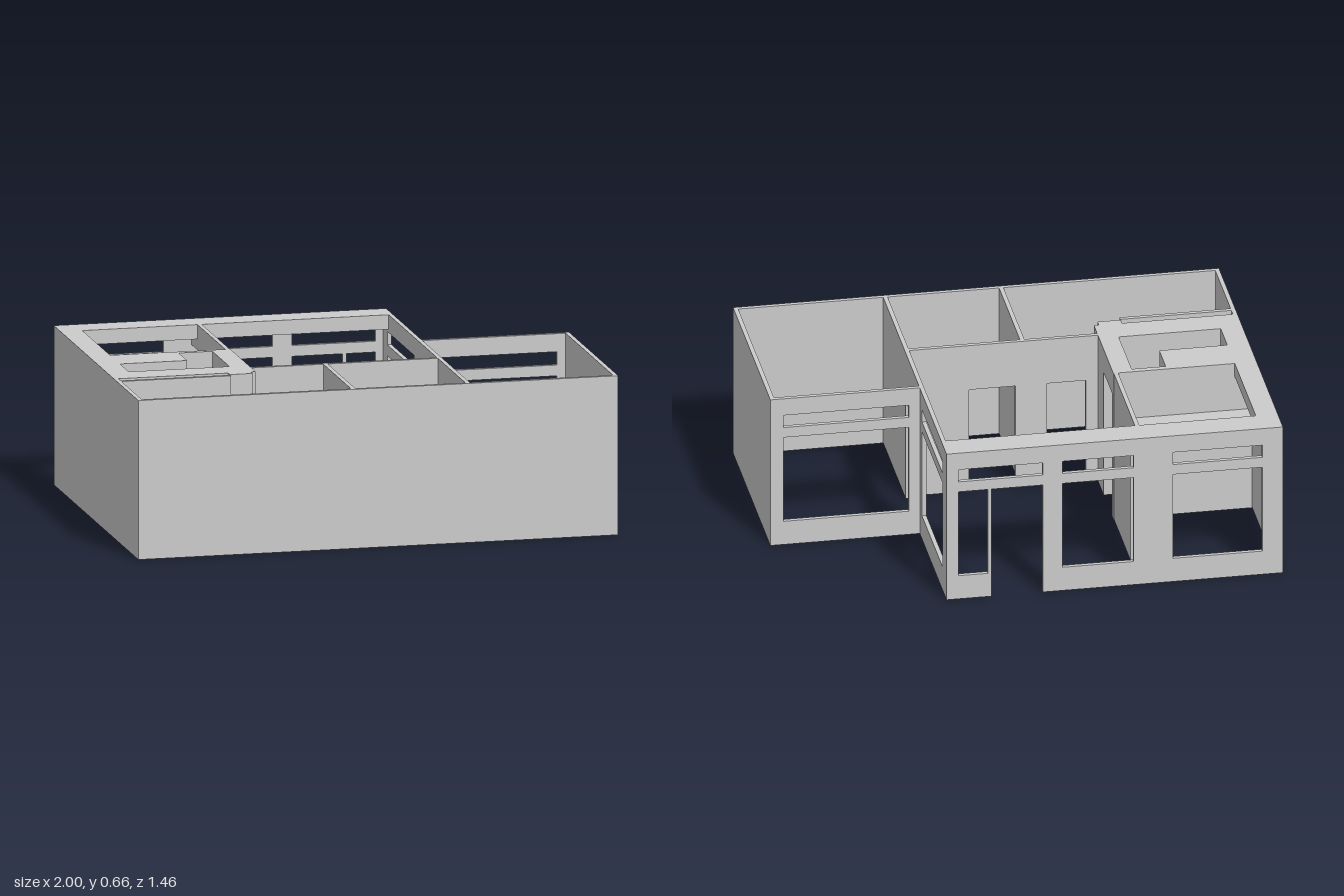
import * as THREE from 'three';

const H = 0.66;   // wall height
const T = 0.018;  // thin wall thickness

export function createModel() {
  const model = new THREE.Group();
  const mat = new THREE.MeshStandardMaterial({ color: 0xcccccc, flatShading: true });

  const add = (name, geo) => {
    const mesh = new THREE.Mesh(geo, mat);
    mesh.name = name;
    model.add(mesh);
    return mesh;
  };

  // Box given by its extents
  const box = (name, x0, x1, z0, z1, y0 = 0, y1 = H) => {
    const g = new THREE.BoxGeometry(x1 - x0, y1 - y0, z1 - z0);
    g.translate((x0 + x1) / 2, (y0 + y1) / 2, (z0 + z1) / 2);
    return add(name, g);
  };

  // Wall panel from a to b; openings are [from, to, bottom, top],
  // those with bottom 0 become notches (doors), the rest holes (windows)
  const panel = (a, b, thick, openings) => {
    const s = new THREE.Shape();
    s.moveTo(a, 0);
    openings.filter(o => o[2] === 0).sort((p, q) => p[0] - q[0]).forEach(([u0, u1, , top]) => {
      s.lineTo(u0, 0);
      s.lineTo(u0, top);
      s.lineTo(u1, top);
      s.lineTo(u1, 0);
    });
    s.lineTo(b, 0);
    s.lineTo(b, H);
    s.lineTo(a, H);
    s.closePath();
    openings.filter(o => o[2] > 0).forEach(([u0, u1, v0, v1]) => {
      const h = new THREE.Path();
      h.moveTo(u0, v0);
      h.lineTo(u0, v1);
      h.lineTo(u1, v1);
      h.lineTo(u1, v0);
      h.closePath();
      s.holes.push(h);
    });
    return new THREE.ExtrudeGeometry(s, { depth: thick, bevelEnabled: false });
  };
  const wallX = (name, x0, x1, z, openings = [], thick = T) =>
    add(name, panel(x0, x1, thick, openings).translate(0, 0, z));
  const wallZ = (name, z0, z1, x, openings = [], thick = T) =>
    add(name, panel(z0, z1, thick, openings).rotateY(-Math.PI / 2).translate(x + thick, 0, 0));

  // Tall window with a narrow transom above it
  const transom = (a, b) => [a, b, 0.53, 0.585];
  const windowSet = (a, b) => [[a, b, 0.105, 0.485], transom(a, b)];

  // Outer walls
  wallX('frontWall', -1, 1, 0.73 - T);
  wallZ('rightOuterWall', -0.73, 0.73 - T, -1);
  wallZ('leftOuterWall', -0.12, 0.73 - T, 1 - T);
  wallX('backWall', -1 + T, 0.385, -0.73, [
    ...windowSet(-0.915, -0.547),
    ...windowSet(-0.385, -0.093),
    [0.215, 0.336, 0.105, 0.485],
    [-0.012, 0.2, 0, 0.485],
    transom(-0.012, 0.336),
  ]);
  wallX('wingBackWall', 0.385, 1 - T, -0.12, windowSet(0.43, 0.945));

  // Wall between main room and wing: outside window and inner doorway
  wallZ('wingDivider', -0.73 + T, 0.73 - T, 0.385 - T, [
    ...windowSet(-0.635, -0.17),
    [-0.1, 0.2, 0, 0.44],
  ]);

  // Inner partitions
  wallX('mainRoomFrontWall', -0.41, 0.385 - T, 0.22, [
    [-0.36, -0.2, 0, 0.46],
    [-0.07, 0.12, 0, 0.46],
  ]);
  wallZ('frontRoomDivider', 0.22 + T, 0.73 - T, -0.11);
  box('kitchenPartition', -0.43, -0.412, -0.51, -0.13);
  box('kitchenDoorHeader', -0.43, -0.412, -0.73 + T, -0.51, 0.555);

  // Dropped ceiling edges along the back and the kitchen side
  box('backBulkhead', -1 + T, 0.385 - T, -0.73 + T, -0.61, 0.6);
  box('kitchenSideBulkhead', -1 + T, -0.91, -0.61, -0.13, 0.6);
  box('kitchenShelf', -1 + T, -0.43, -0.34, -0.13, 0.4, 0.45);

  // Bathroom core with thick walls, a service shaft and a doorway
  box('bathBackWall', -1 + T, -0.41, -0.13, -0.105);
  box('bathSideWall', -1 + T, -0.91, -0.105, 0.19);
  box('bathShaft', -0.91, -0.65, -0.105, 0.02);
  box('bathShaftFront', -0.91, -0.63, 0.02, 0.04);
  box('bathShaftSide', -0.65, -0.63, -0.105, 0.02);
  box('bathFrontWall', -1 + T, -0.41, 0.19, 0.31);
  wallZ('bathDoorWall', -0.105, 0.19, -0.49, [[-0.1, 0.09, 0, 0.555]], 0.08);

  // Sliding door pocket in front of the bathroom core
  box('slidingDoor', -0.98, -0.54, 0.315, 0.338, 0, 0.64);
  box('pocketPanel', -1 + T, -0.525, 0.345, 0.363);
  box('pocketPost', -0.525, -0.43, 0.31, 0.34);

  return model;
}
